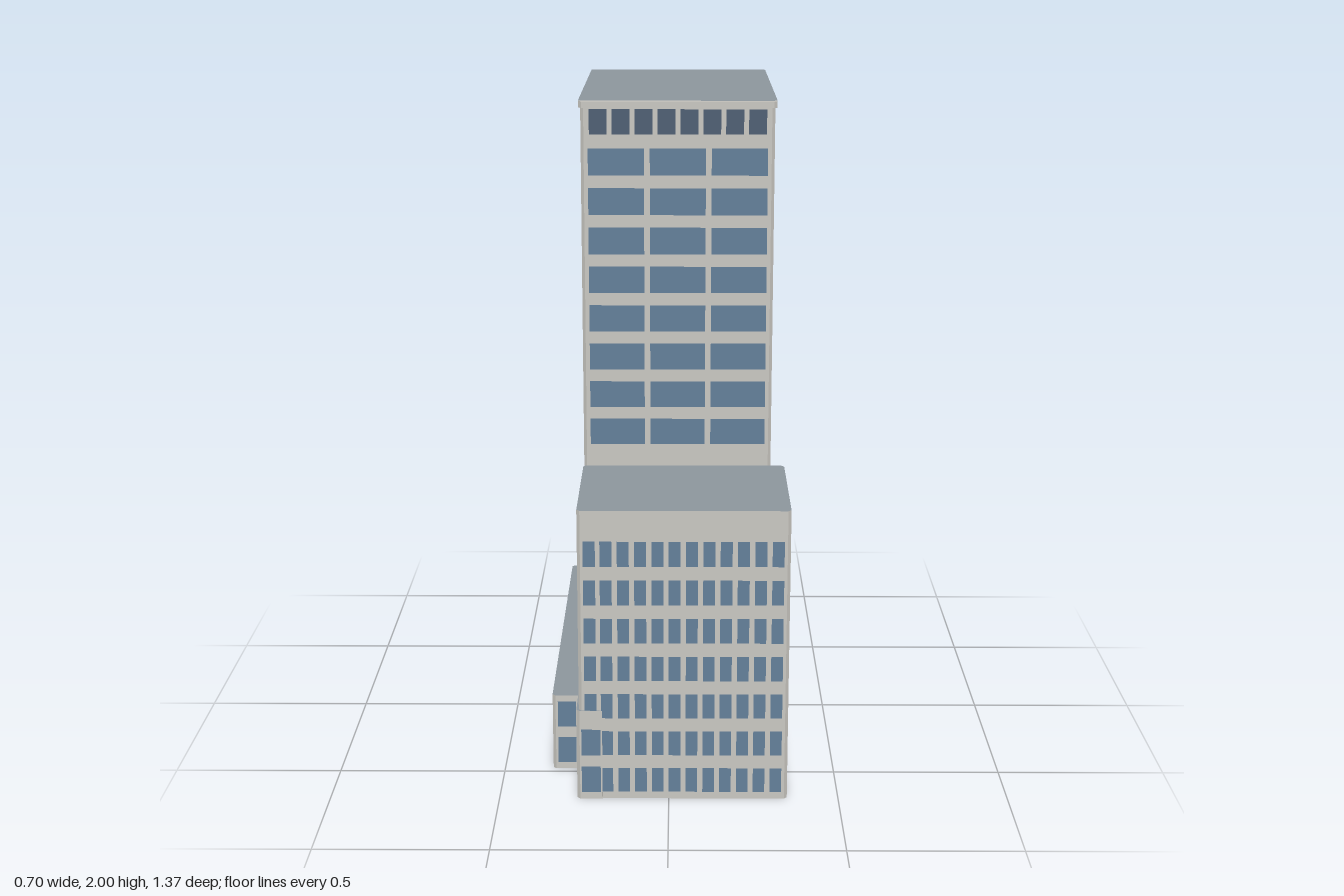
import * as THREE from 'three';
import { mergeGeometries } from 'three/addons/utils/BufferGeometryUtils.js';

const mat = (name, color, side = THREE.FrontSide) => {
  const m = new THREE.MeshStandardMaterial({ color, side });
  m.name = name;
  return m;
};

// facing angle of each side of the building
const ANGLE = { front: 0, right: Math.PI / 2, back: Math.PI, left: -Math.PI / 2 };
const PITCH = 0.1172; // storey height
const CUT = 0.009;    // small corner chamfer

export function createModel() {
  const stone = mat('paleStone', 0xc9c7c1, THREE.DoubleSide);
  const roofGrey = mat('roofGrey', 0x8d969d, THREE.DoubleSide);
  const glass = mat('blueGlass', 0x64809a);
  const darkGlass = mat('darkGlass', 0x506074);
  const model = new THREE.Group();
  model.name = 'officeBuilding';

  const add = (parent, name, geometry, material) => {
    const m = new THREE.Mesh(geometry, material);
    m.name = name;
    parent.add(m);
    return m;
  };
  const part = (name) => {
    const g = new THREE.Group();
    g.name = name;
    model.add(g);
    return g;
  };

  // upright wall panels along a path; each step is [x, z, foot], foot = base height of the panel that starts there
  const walls = (path, top) => mergeGeometries(path.slice(1).map(([bx, bz], i) => {
    const [ax, az, foot] = path[i];
    const g = new THREE.BufferGeometry();
    g.setAttribute('position', new THREE.Float32BufferAttribute(
      [ax, foot, az, bx, foot, bz, bx, top, bz, ax, top, az], 3));
    g.setIndex([0, 1, 2, 0, 2, 3]);
    g.computeVertexNormals();
    return g;
  }));

  // rectangle outline with clipped corners, in x and -z
  const outline = (x0, x1, z0, z1, c = CUT) => new THREE.Shape([
    [x0 + c, -z1], [x1 - c, -z1], [x1, -z1 + c], [x1, -z0 - c],
    [x1 - c, -z0], [x0 + c, -z0], [x0, -z0 - c], [x0, -z1 + c],
  ].map(([x, y]) => new THREE.Vector2(x, y)));

  const roof = (x0, x1, z0, z1, y) =>
    new THREE.ShapeGeometry(outline(x0, x1, z0, z1)).rotateX(-Math.PI / 2).translate(0, y, 0);

  // rows and columns of flat panes just outside the wall at coordinate d
  const panes = (side, d, from, to, cols, gap, y0, h, rows) => {
    const list = [];
    const w = (to - from - gap * (cols - 1)) / cols;
    const out = d + Math.sign(d) * 0.0015;
    for (let r = 0; r < rows; r++) for (let c = 0; c < cols; c++) {
      const u = from + w / 2 + c * (w + gap);
      const y = y0 + h / 2 + r * PITCH;
      const g = new THREE.PlaneGeometry(w, h).rotateY(ANGLE[side]);
      if (side === 'front' || side === 'back') g.translate(u, y, out);
      else g.translate(out, y, u);
      list.push(g);
    }
    return mergeGeometries(list);
  };

  // Tower: lower walls are left out where the wings join
  const T = { x0: -0.261, x1: 0.308, z0: -0.676, z1: 0.233 };
  const tower = part('tower');
  add(tower, 'towerWalls', walls([
    [T.x0 + CUT, T.z1, 0.89], [T.x1 - CUT, T.z1, 0], [T.x1, T.z1 - CUT, 0],
    [T.x1, T.z0 + CUT, 0], [T.x1 - CUT, T.z0, 0], [T.x0 + CUT, T.z0, 0],
    [T.x0, T.z0 + CUT, 0.24], [T.x0, T.z1 - CUT, 0.24], [T.x0 + CUT, T.z1, 0],
  ], 1.98), stone);
  const cap = new THREE.ExtrudeGeometry(outline(-0.267, 0.314, -0.682, 0.238),
    { depth: 0.019, bevelEnabled: false });
  add(tower, 'towerCap', cap.rotateX(-Math.PI / 2).translate(0, 1.979, 0), stone);
  add(tower, 'towerRoof', roof(-0.267, 0.314, -0.682, 0.238, 2), roofGrey);

  const across = [-0.24, 0.288], along = [-0.654, 0.219];
  const towerSides = [
    ['front', T.z1, across, 3, 8, 8], ['back', T.z0, across, 3, 8, 0],
    ['right', T.x1, along, 5, 13, 0], ['left', T.x0, along, 5, 13, 2],
  ];
  for (const [side, d, [a, b], cols, atticCols, skip] of towerSides) {
    add(tower, side + 'TowerWindows',
      panes(side, d, a, b, cols, 0.017, 0.023 + skip * PITCH, 0.08, 16 - skip), glass);
    add(tower, side + 'AtticWindows',
      panes(side, d, a + 0.004, b - 0.004, atticCols, 0.0145, 1.902, 0.073, 1), darkGlass);
  }

  // Front block, open towards the tower
  const B = { x0: -0.263, x1: 0.349, z0: 0.241, z1: 0.679 };
  const block = part('frontBlock');
  add(block, 'blockWalls', walls([
    [B.x0, B.z0, 0.24], [B.x0, 0.482, 0.28], [B.x0, B.z1 - CUT, 0.28],
    [B.x0 + CUT, B.z1, 0.28], [-0.195, B.z1, 0], [B.x1 - CUT, B.z1, 0],
    [B.x1, B.z1 - CUT, 0], [B.x1, B.z0 + CUT, 0], [B.x1 - CUT, B.z0, 0],
  ], 0.893), stone);
  add(block, 'blockRoof', roof(B.x0, B.x1, 0.236, B.z1, 0.893), roofGrey);
  add(block, 'blockFrontWindows', panes('front', B.z1, -0.198, 0.331, 11, 0.0152, 0.022, 0.076, 7), glass);
  add(block, 'blockCornerWindows', panes('front', B.z1, -0.246, -0.211, 1, 0, 0.022 + 2 * PITCH, 0.076, 5), glass);
  add(block, 'blockRightWindows', panes('right', B.x1, 0.261, 0.663, 8, 0.0155, 0.022, 0.076, 7), glass);
  add(block, 'blockLeftWindows', panes('left', B.x0, 0.261, 0.663, 8, 0.0155, 0.022 + 2 * PITCH, 0.076, 5), glass);

  // Low side wing along the left of the tower
  const W = { x0: -0.353, x1: -0.259, z0: -0.675, z1: 0.479 };
  const wing = part('sideWing');
  add(wing, 'wingWalls', walls([
    [W.x1, W.z0, 0], [W.x0 + CUT, W.z0, 0], [W.x0, W.z0 + CUT, 0],
    [W.x0, W.z1 - CUT, 0], [W.x0 + CUT, W.z1, 0], [W.x1, W.z1, 0],
  ], 0.24), stone);
  add(wing, 'wingRoof', roof(W.x0, W.x1, W.z0, W.z1, 0.24), roofGrey);
  add(wing, 'wingLeftWindows', panes('left', W.x0, -0.658, 0.462, 18, 0.0155, 0.022, 0.082, 2), glass);
  // the wing's front face lies at positive z, its back at negative z
  for (const [side, d] of [['front', W.z1], ['back', W.z0]])
    add(wing, side + 'WingWindows', panes(side, d, -0.337, -0.282, 1, 0, 0.022, 0.082, 2), glass);

  // Small base at the front corner
  const C = { x0: -0.27, x1: -0.195, z0: 0.484, z1: 0.682 };
  const base = part('cornerBase');
  add(base, 'baseWalls', walls([
    [-0.26, C.z0, 0], [C.x0 + CUT, C.z0, 0], [C.x0, C.z0 + CUT, 0], [C.x0, C.z1 - CUT, 0],
    [C.x0 + CUT, C.z1, 0], [C.x1, C.z1, 0], [C.x1, B.z1, 0],
  ], 0.28), stone);
  add(base, 'baseRoof', roof(C.x0, C.x1, C.z0, C.z1, 0.28), roofGrey);
  add(base, 'baseFrontWindows', panes('front', C.z1, -0.256, -0.2, 1, 0, 0.022, 0.082, 2), glass);
  add(base, 'baseLeftWindows', panes('left', C.x0, 0.5, 0.666, 3, 0.0155, 0.022, 0.082, 2), glass);

  return model;
}
